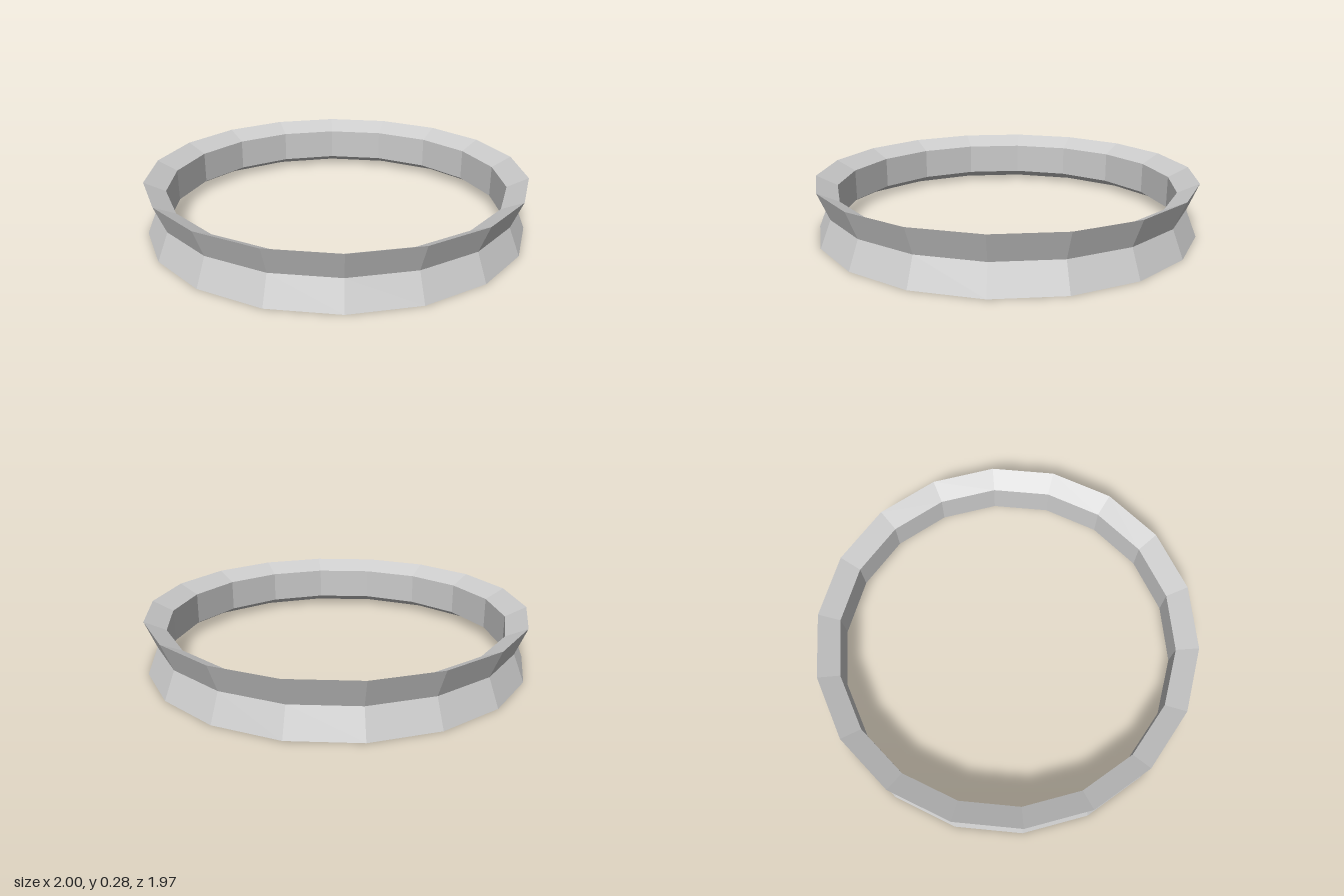
import * as THREE from 'three';

export function createModel() {
  const group = new THREE.Group();
  group.name = 'groovedRing';

  // Ring cross-section (radius, height), counterclockwise: V groove outside,
  // straight wall inside, sloping faces joining them
  const profile = [
    [1.0, 0],
    [0.943, 0.14],
    [1.0, 0.28],
    [0.892, 0.226],
    [0.892, 0.054],
    [1.0, 0],
  ].map(([r, y]) => new THREE.Vector2(r, y));

  // 18-sided band with corners on the x axis
  const geometry = new THREE.LatheGeometry(profile, 18, Math.PI / 2);
  const material = new THREE.MeshStandardMaterial({ color: 0xcccccc, flatShading: true });
  const ring = new THREE.Mesh(geometry, material);
  ring.name = 'ringBand';
  group.add(ring);

  return group;
}
